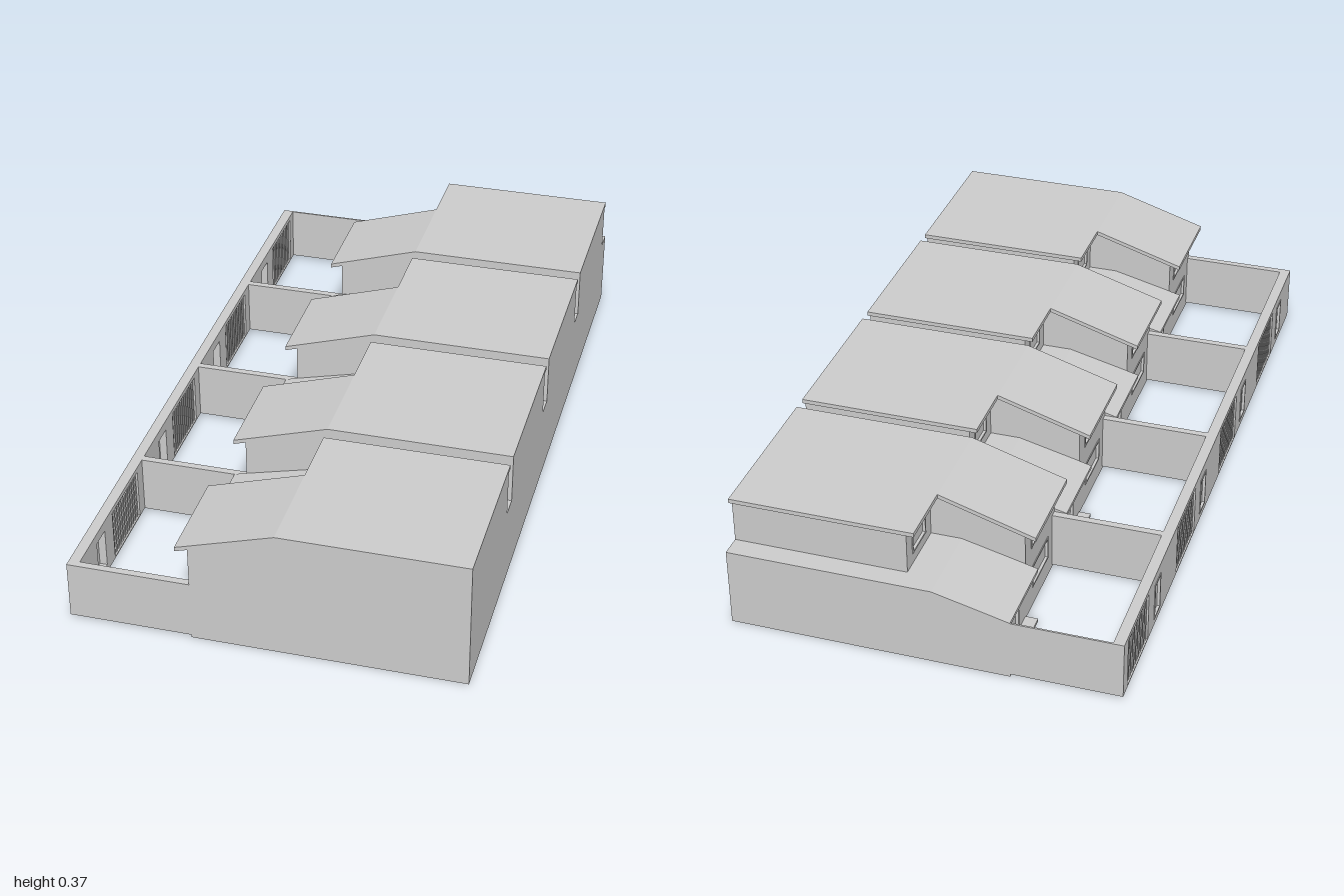
import * as THREE from 'three';

const mat = new THREE.MeshStandardMaterial({ color: 0xcccccc, side: THREE.DoubleSide, flatShading: true });

function add(parent, name, geometry) {
  const mesh = new THREE.Mesh(geometry, mat);
  mesh.name = name;
  parent.add(mesh);
  return mesh;
}

// Box given by its minimum and maximum on each axis
function box(parent, name, x0, x1, y0, y1, z0, z1) {
  const g = new THREE.BoxGeometry(x1 - x0, y1 - y0, z1 - z0);
  g.translate((x0 + x1) / 2, (y0 + y1) / 2, (z0 + z1) / 2);
  return add(parent, name, g);
}

const outline = (pts) => pts.map(([a, b]) => new THREE.Vector2(a, b));
const rect = ([a0, a1, b0, b1]) => outline([[a0, b0], [a1, b0], [a1, b1], [a0, b1]]);

// Profile in x,y extruded from z0 to z1
function alongZ(parent, name, pts, z0, z1) {
  const g = new THREE.ExtrudeGeometry(new THREE.Shape(outline(pts)), { depth: z1 - z0, bevelEnabled: false });
  g.translate(0, 0, z0);
  return add(parent, name, g);
}

// Wall outlined in z,y with rectangular openings, from x0 to x1
function wallX(parent, name, pts, holes, x0, x1) {
  const shape = new THREE.Shape(outline(pts));
  holes.forEach((h) => shape.holes.push(new THREE.Path(rect(h))));
  const g = new THREE.ExtrudeGeometry(shape, { depth: x1 - x0, bevelEnabled: false });
  g.rotateY(-Math.PI / 2);
  g.translate(x1, 0, 0);
  return add(parent, name, g);
}

// Recessed pane with a slim raised frame, in a wall whose outer face is at x
function opening(parent, name, x, [z0, z1, y0, y1]) {
  const group = new THREE.Group();
  group.name = name;
  box(group, 'pane', x + 0.006, x + 0.009, y0, y1, z0, z1);
  const t = 0.006;
  wallX(group, 'frame', [[z0, y0], [z1, y0], [z1, y1], [z0, y1]],
    [[z0 + t, z1 - t, y0 + t, y1 - t]], x - 0.002, x + 0.008);
  parent.add(group);
}

const EAVE = -0.24, FACE = -0.205, BACK = 0.535, YARD = -0.54;
const RIDGE = 0.027, STEP = 0.055, LOWBEND = -0.03;
const HIGH = 0.367, LOW = 0.225, T = 0.012;

function createHouse() {
  const house = new THREE.Group();
  house.name = 'house';

  // Tall party wall on the +z side
  alongZ(house, 'partyWall', [[FACE, 0], [BACK, 0], [BACK, HIGH - 0.002], [RIDGE, HIGH - 0.002], [FACE, 0.293]], 0.49, 0.5);

  // Rear wall, with a notch above the lower roof
  wallX(house, 'rearWall', [[0, 0], [0.5, 0], [0.5, HIGH - 0.002], [0.06, HIGH - 0.002], [0.06, LOW], [0, LOW]],
    [], BACK - 0.01, BACK);

  // Yard facade with upper window, lower window and door
  const upperWindow = [0.29, 0.44, 0.195, 0.258];
  const lowerWindow = [0.3, 0.44, 0.06, 0.13];
  const door = [0.1, 0.18, 0.008, 0.145];
  wallX(house, 'facade', [[0, 0], [0.5, 0], [0.5, 0.288], [0.24, 0.288], [0.24, 0.176], [0, 0.176]],
    [upperWindow, lowerWindow, door], FACE, FACE + 0.01);
  opening(house, 'upperWindow', FACE, upperWindow);
  opening(house, 'lowerWindow', FACE, lowerWindow);
  opening(house, 'door', FACE, door);
  box(house, 'doorStep', EAVE, FACE, 0, 0.008, 0, 0.24);

  // Upper storey walls that rise from the lower roof
  const sideWindow = [0.1, 0.2, 0.255, 0.325];
  wallX(house, 'setbackWall', rect([0.06, 0.25, 0.2, HIGH - T]).map((p) => [p.x, p.y]), [sideWindow], STEP, STEP + 0.01);
  opening(house, 'setbackWindow', STEP, sideWindow);
  box(house, 'upperSideWall', STEP, BACK, 0.2, HIGH - T, 0.06, 0.07);
  alongZ(house, 'upperReturnWall',
    [[FACE, 0.165], [STEP, 0.2], [STEP, HIGH - T], [RIDGE, HIGH - T], [FACE, 0.283]], 0.24, 0.25);

  // Upper roof: sloping eave part and flat part
  alongZ(house, 'upperRoofSlope',
    [[EAVE, 0.273], [RIDGE, HIGH - T], [RIDGE, HIGH], [EAVE, 0.285]], 0.22, 0.5);
  box(house, 'upperRoofFlat', RIDGE, BACK, HIGH - T, HIGH, 0.04, 0.5);

  // Lower roof: sloping to the yard, flat strip behind
  alongZ(house, 'lowerRoofSlope',
    [[EAVE, 0.163], [LOWBEND, LOW - T], [STEP, LOW - T], [STEP, LOW], [LOWBEND, LOW], [EAVE, 0.173]], 0, 0.24);
  box(house, 'lowerRoofStrip', STEP, BACK, LOW - T, LOW, 0, 0.06);

  // Yard: dividing wall, street wall with door and slatted gate
  box(house, 'yardDivider', YARD, FACE, 0.008, 0.172, 0.48, 0.5);
  const gate = [0.04, 0.24, 0.012, 0.158];
  const yardDoor = [0.3, 0.36, 0.03, 0.142];
  wallX(house, 'streetWall', [[0, 0.008], [0.5, 0.008], [0.5, 0.172], [0, 0.172]], [gate, yardDoor], YARD, YARD + 0.03);
  opening(house, 'yardDoor', YARD, yardDoor);
  const slats = 12, pitch = (gate[1] - gate[0]) / slats;
  box(house, 'gatePanel', YARD + 0.014, YARD + 0.018, gate[2], gate[3], gate[0], gate[1]);
  for (let i = 0; i < slats; i++) {
    const z = gate[0] + pitch * i;
    box(house, 'gateSlat', YARD + 0.004, YARD + 0.026, gate[2], gate[3], z + pitch * 0.25, z + pitch * 0.75);
  }
  return house;
}

export function createModel() {
  const model = new THREE.Group();
  model.name = 'rowHouses';
  for (let i = 0; i < 4; i++) {
    const house = createHouse();
    house.position.z = -1 + i * 0.5;
    model.add(house);
  }
  // Closing walls at the -z end of the row
  alongZ(model, 'endWall', [[FACE, 0], [BACK, 0], [BACK, LOW], [LOWBEND, LOW], [FACE, 0.182]], -1, -0.994);
  box(model, 'endYardWall', YARD, FACE, 0.008, 0.172, -1, -0.995);
  return model;
}
